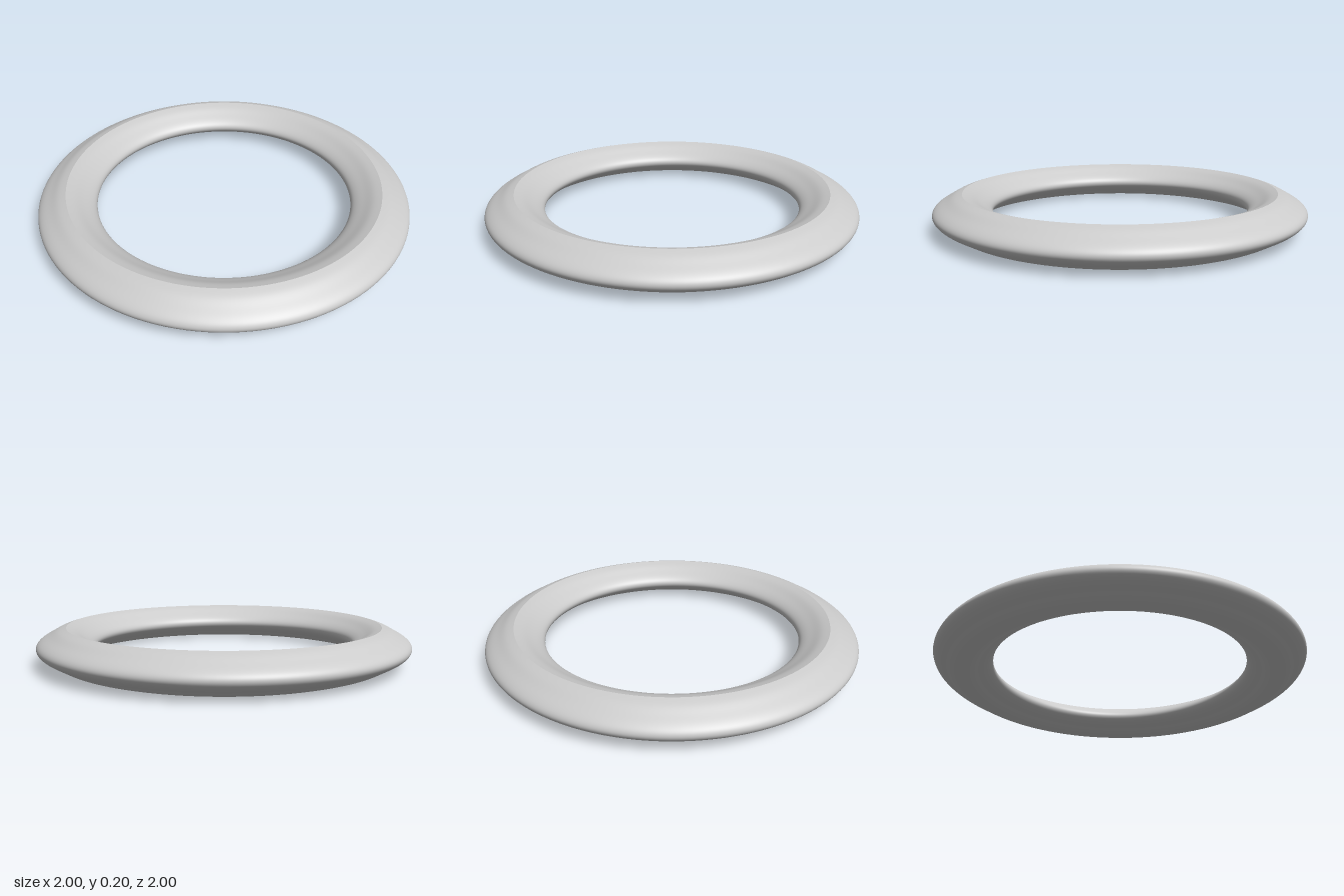
import * as THREE from 'three';

const MID_RADIUS = 0.845; // radius of the crease on top and bottom
const MID_HEIGHT = 0.1;

// Quarter section: [distance from the crease radius, height above the middle]
const QUARTER = [[0.155, 0], [0.147, 0.021], [0.124, 0.041], [0.085, 0.063], [0.043, 0.086], [0, 0.1]];

export function createModel() {
  const group = new THREE.Group();
  group.name = 'ring';
  const material = new THREE.MeshStandardMaterial({ color: 0xcccccc });

  // side = 1 gives the outer face, -1 the inner face; they meet at sharp creases
  const addFace = (name, side) => {
    const lower = QUARTER.slice(1).reverse().map(([d, h]) => [d, -h]);
    const points = [...lower, ...QUARTER].map(([d, h]) =>
      new THREE.Vector2(MID_RADIUS + side * d, MID_HEIGHT + side * h));
    const profile = new THREE.SplineCurve(points).getPoints(40);
    const mesh = new THREE.Mesh(new THREE.LatheGeometry(profile, 128), material);
    mesh.name = name;
    group.add(mesh);
  };

  addFace('outerFace', 1);
  addFace('innerFace', -1);
  return group;
}
